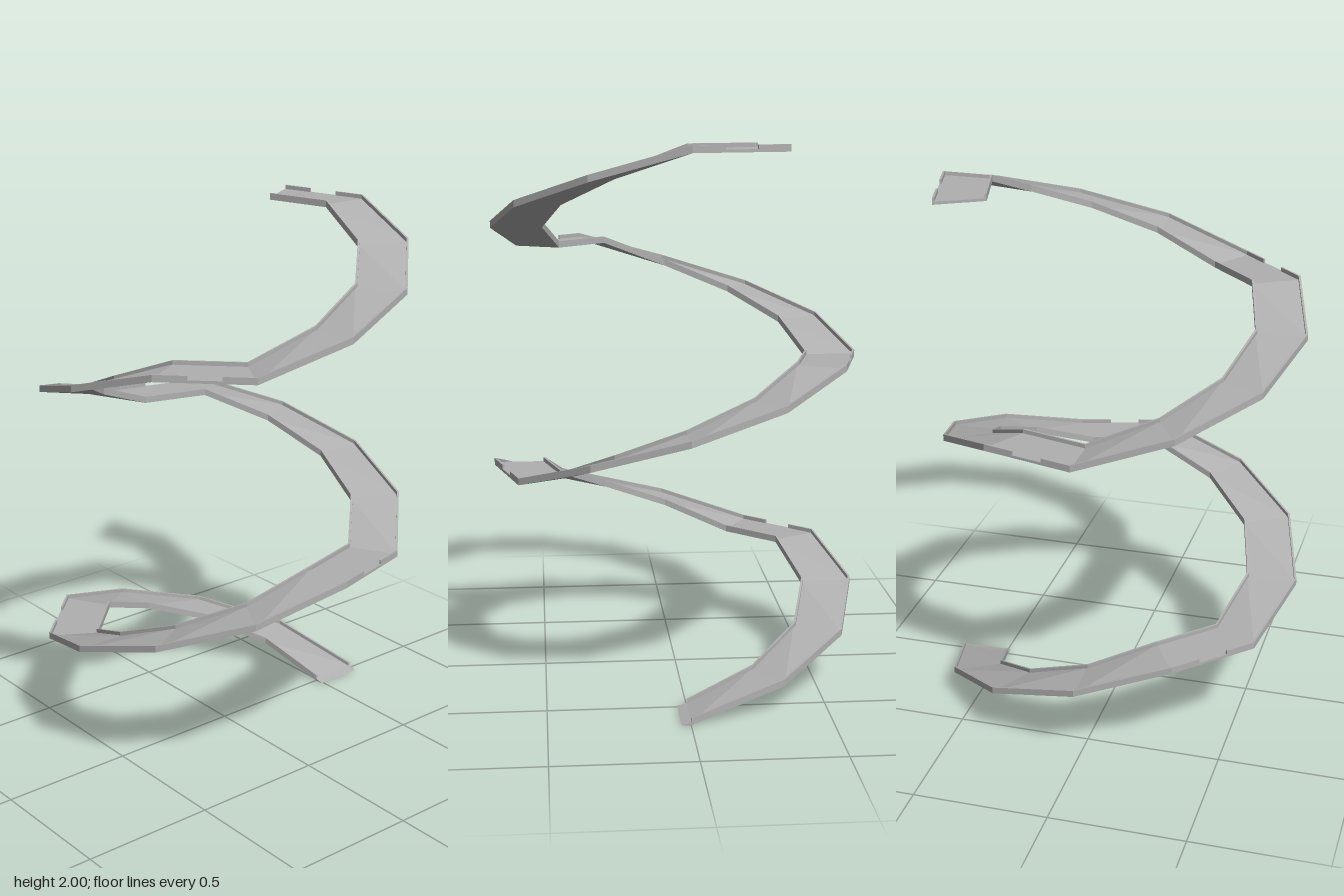
import * as THREE from 'three';

const INNER = 0.49, OUTER = 0.68;   // corner radii of the twelve-sided ramp
const RISE = 0.09875;               // climb per sloped segment
const DECK = 0.01, CURB_TOP = 0.025, CURB_WIDTH = 0.008;
const SEGMENTS = 25;                // every fifth segment is a flat landing

// Point on the faceted helix at station t (whole numbers are corners)
function helixPoint(t, radius, lift) {
  const corner = (k) => {
    const a = k * Math.PI / 6;
    return new THREE.Vector3(-Math.sin(a) * radius, RISE * (k - Math.floor(k / 5)) + lift, -Math.cos(a) * radius);
  };
  const k = Math.floor(t);
  return t === k ? corner(k) : corner(k).lerp(corner(k + 1), t - k);
}

// Rectangular section swept through the stations from t0 to t1, capped at both ends
function sweep(t0, t1, rIn, rOut, low, high) {
  const stations = [t0];
  for (let k = Math.floor(t0) + 1; k < t1; k++) stations.push(k);
  stations.push(t1);
  const rings = stations.map((t) => [
    helixPoint(t, rOut, low), helixPoint(t, rOut, high),
    helixPoint(t, rIn, high), helixPoint(t, rIn, low),
  ]);
  const points = [];
  const quad = (a, b, c, d) => points.push(a, b, c, a, c, d);
  for (let s = 0; s < rings.length - 1; s++) {
    for (let i = 0; i < 4; i++) {
      const j = (i + 1) % 4;
      quad(rings[s][i], rings[s + 1][i], rings[s + 1][j], rings[s][j]);
    }
  }
  quad(...rings[0]);
  quad(...rings[rings.length - 1].slice().reverse());
  const geometry = new THREE.BufferGeometry().setFromPoints(points);
  geometry.computeVertexNormals();
  return geometry;
}

export function createModel() {
  const model = new THREE.Group();
  model.name = 'spiralRamp';
  const grey = new THREE.MeshStandardMaterial({ color: 0xb0b0b0 });
  grey.name = 'concreteGrey';
  const add = (name, geometry) => {
    const mesh = new THREE.Mesh(geometry, grey);
    mesh.name = name;
    model.add(mesh);
    return mesh;
  };

  // Walking surface and continuous inner curb
  add('deck', sweep(0, SEGMENTS, INNER, OUTER, 0, DECK));
  add('innerCurb', sweep(0, SEGMENTS, INNER, INNER + CURB_WIDTH, DECK, CURB_TOP));

  // Outer curb, open in the middle third of each landing
  let start = 0;
  for (let k = 4; k < SEGMENTS; k += 5) {
    add('outerCurb', sweep(start, k + 1 / 3, OUTER - CURB_WIDTH, OUTER, DECK, CURB_TOP));
    start = k + 2 / 3;
  }
  add('outerCurb', sweep(start, SEGMENTS, OUTER - CURB_WIDTH, OUTER, DECK, CURB_TOP));

  // Thin wedge leading from the ground onto the deck
  const wedge = new THREE.Shape([
    new THREE.Vector2(0, 0), new THREE.Vector2(0.034, 0), new THREE.Vector2(0, DECK),
  ]);
  add('entryWedge', new THREE.ExtrudeGeometry(wedge, { depth: OUTER - INNER, bevelEnabled: false }))
    .position.z = -OUTER;

  return model;
}
